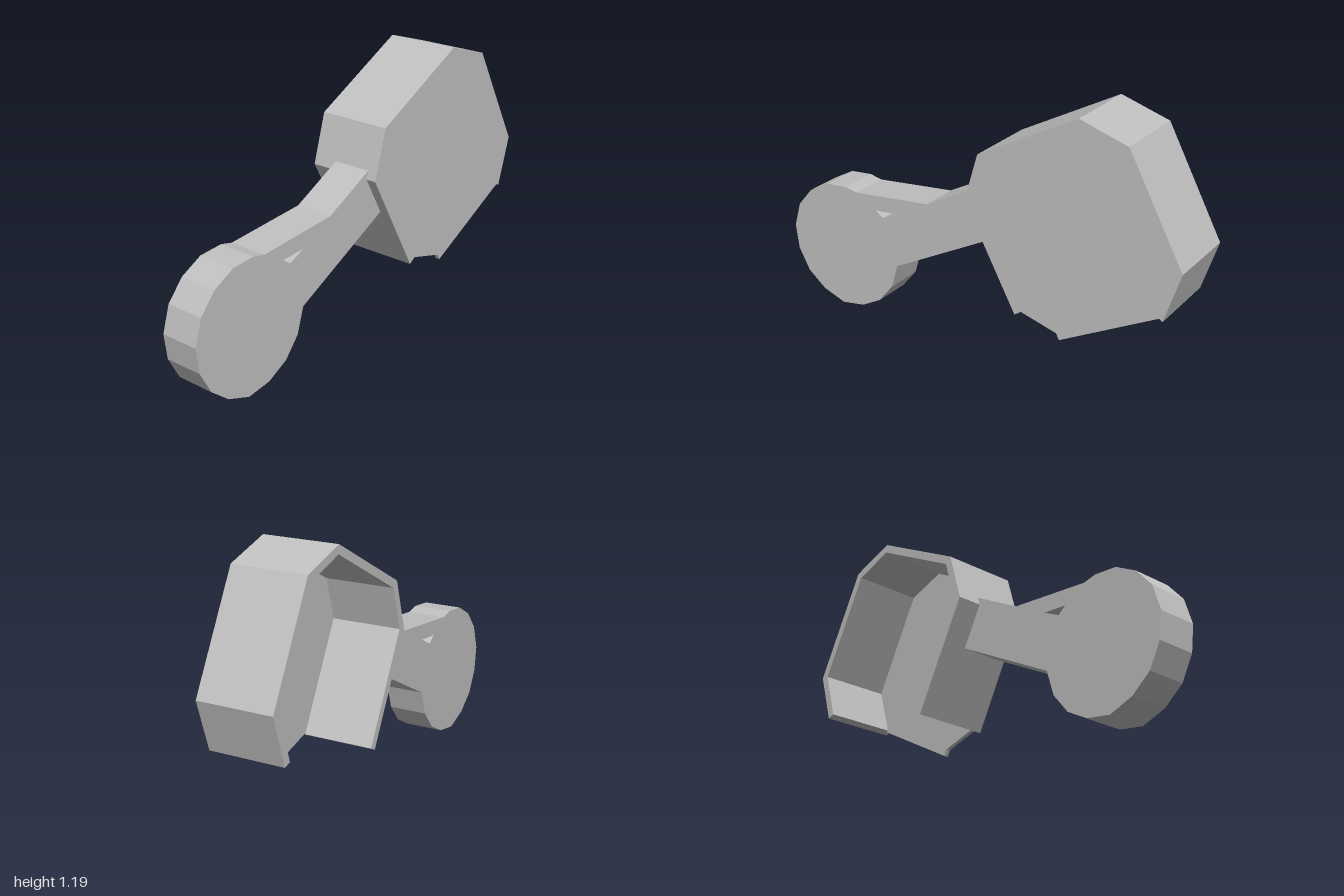
import * as THREE from 'three';

const grey = new THREE.MeshStandardMaterial({ color: 0xc0c0c0 });
grey.name = 'plain grey';

const toPoints = (list) => list.map(([x, y]) => new THREE.Vector2(x, y));

// Flat-sided slab of a given outline between two depths
function slab(name, points, back, front, holes = []) {
  const shape = new THREE.Shape(points);
  for (const hole of holes) shape.holes.push(new THREE.Path(hole));
  const geometry = new THREE.ExtrudeGeometry(shape, { depth: front - back, bevelEnabled: false });
  geometry.translate(0, 0, back);
  const mesh = new THREE.Mesh(geometry, grey);
  mesh.name = name;
  return mesh;
}

// Open path moved to its right-hand side by a distance, with mitred corners
function offsetPath(points, distance) {
  const normal = (a, b) => new THREE.Vector2(b.y - a.y, a.x - b.x).normalize();
  return points.map((p, i) => {
    const before = i > 0 ? normal(points[i - 1], p) : normal(p, points[1]);
    const after = i < points.length - 1 ? normal(p, points[i + 1]) : before;
    const mitre = before.clone().add(after).normalize();
    return p.clone().addScaledVector(mitre, distance / mitre.dot(after));
  });
}

export function createModel() {
  const model = new THREE.Group();
  model.name = 'guardWithArm';

  // Arm with its faceted round end and a small triangular hole
  const arm = toPoints([
    [-1, 0.33], [-0.985, 0.215], [-0.93, 0.112], [-0.84, 0.04], [-0.727, 0],
    [-0.61, 0.02], [-0.51, 0.075], [-0.437, 0.165], [-0.402, 0.28],
    [0.118, 0.557], [0.012, 0.757], [-0.23, 0.627], [-0.62, 0.587],
    [-0.68, 0.6], [-0.79, 0.59], [-0.89, 0.535], [-0.965, 0.447],
  ]);
  const armHole = toPoints([[-0.513, 0.527], [-0.396, 0.537], [-0.475, 0.498]]);
  model.add(slab('arm', arm, -0.057, 0.123, [armHole]));

  // Guard: a rim open at the bottom and back, closed by a front plate
  const guard = new THREE.Group();
  guard.name = 'guard';
  const rimOuter = toPoints([
    [0.251, 0.257], [0, 0.72], [0.065, 0.94], [0.53, 1.19],
    [0.75, 1.122], [1, 0.658], [0.93, 0.434],
  ]);
  const rimInner = offsetPath(rimOuter, 0.036);
  guard.add(slab('guardRim', [...rimOuter, ...rimInner.slice().reverse()], -0.17, 0.15));

  const lowerEdge = toPoints([[0.914, 0.444], [0.47, 0.204], [0.455, 0.232], [0.283, 0.279]]);
  guard.add(slab('guardFrontPlate', [...rimOuter, ...lowerEdge], 0.15, 0.17));
  model.add(guard);

  return model;
}
